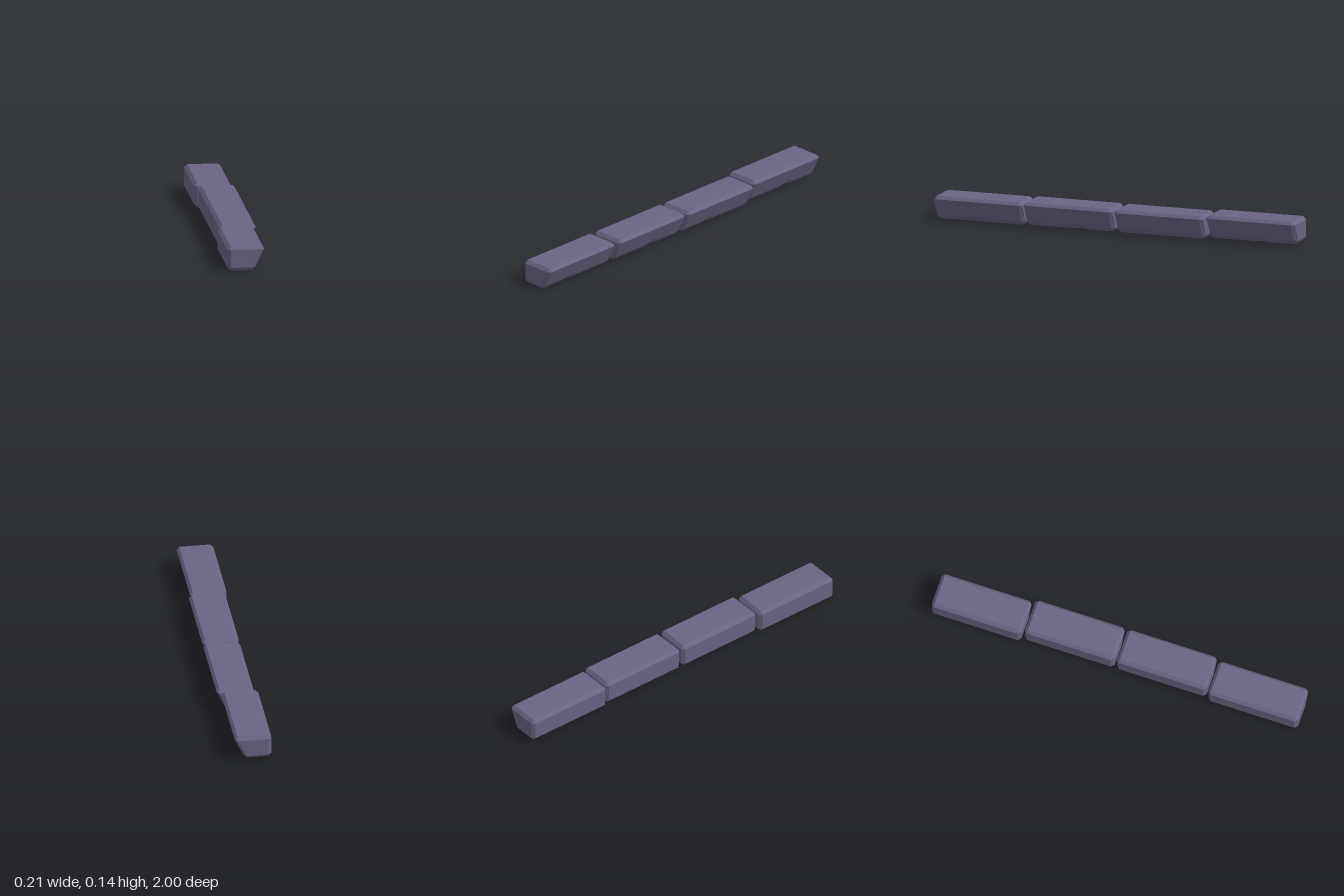
import * as THREE from 'three';

// Cross-section of a stone, counter-clockwise seen from the front
const PROFILE = [
  [-0.083, 0], [0.028, 0], [0.048, 0.02], [0.092, 0.112],
  [0.078, 0.128], [-0.083, 0.128], [-0.1, 0.112], [-0.1, 0.018],
];
// End face: each chamfer collapses to one corner
const BL = [-0.083, 0.018], BR = [0.03, 0.018], TR = [0.078, 0.111], TL = [-0.083, 0.111];
const END = [BL, BR, BR, TR, TR, TL, TL, BL];

const LENGTH = 0.49;
const CHAMFER = 0.016;

// Cross-section with the lower right chamfer widened into a chip
function chipped(depth) {
  const p = PROFILE.map((q) => q.slice());
  p[1][0] -= depth;
  p[2][0] += depth * 0.49;
  p[2][1] += depth;
  return p;
}

function stoneGeometry(chipZ, chipDepth, chipWidth) {
  const h = LENGTH / 2;
  const rings = [
    [-h, END], [-h + CHAMFER, PROFILE],
    [chipZ - chipWidth, PROFILE], [chipZ, chipped(chipDepth)], [chipZ + chipWidth, PROFILE],
    [h - CHAMFER, PROFILE], [h, END],
  ].map(([z, pts]) => pts.map(([x, y]) => new THREE.Vector3(x, y, z)));

  const out = [];
  const tri = (a, b, c) => {
    if (a.equals(b) || b.equals(c) || c.equals(a)) return;
    for (const v of [a, b, c]) out.push(v.x, v.y, v.z);
  };
  // Sides
  for (let i = 0; i < rings.length - 1; i++) {
    for (let j = 0; j < 8; j++) {
      const k = (j + 1) % 8;
      const [a, b, c, d] = [rings[i][j], rings[i][k], rings[i + 1][k], rings[i + 1][j]];
      tri(a, b, c);
      tri(a, c, d);
    }
  }
  // End faces
  const back = rings[0], front = rings[rings.length - 1];
  for (let j = 1; j < 7; j++) {
    tri(front[0], front[j], front[j + 1]);
    tri(back[0], back[j + 1], back[j]);
  }
  const g = new THREE.BufferGeometry();
  g.setAttribute('position', new THREE.Float32BufferAttribute(out, 3));
  g.computeVertexNormals();
  return g;
}

export function createModel() {
  const group = new THREE.Group();
  group.name = 'stoneEdging';
  const stone = new THREE.MeshStandardMaterial({ color: 0x6b6384, flatShading: true });
  stone.name = 'purple grey stone';

  // Four stones in a row, each slightly shifted: x, y, chip position, depth and half width
  const stones = [
    { name: 'backStone', x: -0.007, y: 0.01, chip: -0.045, depth: 0.018, width: 0.035 },
    { name: 'middleBackStone', x: 0.012, y: 0.005, chip: 0.052, depth: 0.009, width: 0.027 },
    { name: 'middleFrontStone', x: 0.012, y: 0.006, chip: -0.045, depth: 0.018, width: 0.035 },
    { name: 'frontStone', x: 0, y: 0, chip: 0.052, depth: 0.009, width: 0.027 },
  ];
  const pitch = (2 - LENGTH) / 3;
  stones.forEach((s, i) => {
    const mesh = new THREE.Mesh(stoneGeometry(s.chip, s.depth, s.width), stone);
    mesh.name = s.name;
    mesh.position.set(s.x, s.y, -1 + LENGTH / 2 + i * pitch);
    group.add(mesh);
  });
  return group;
}
